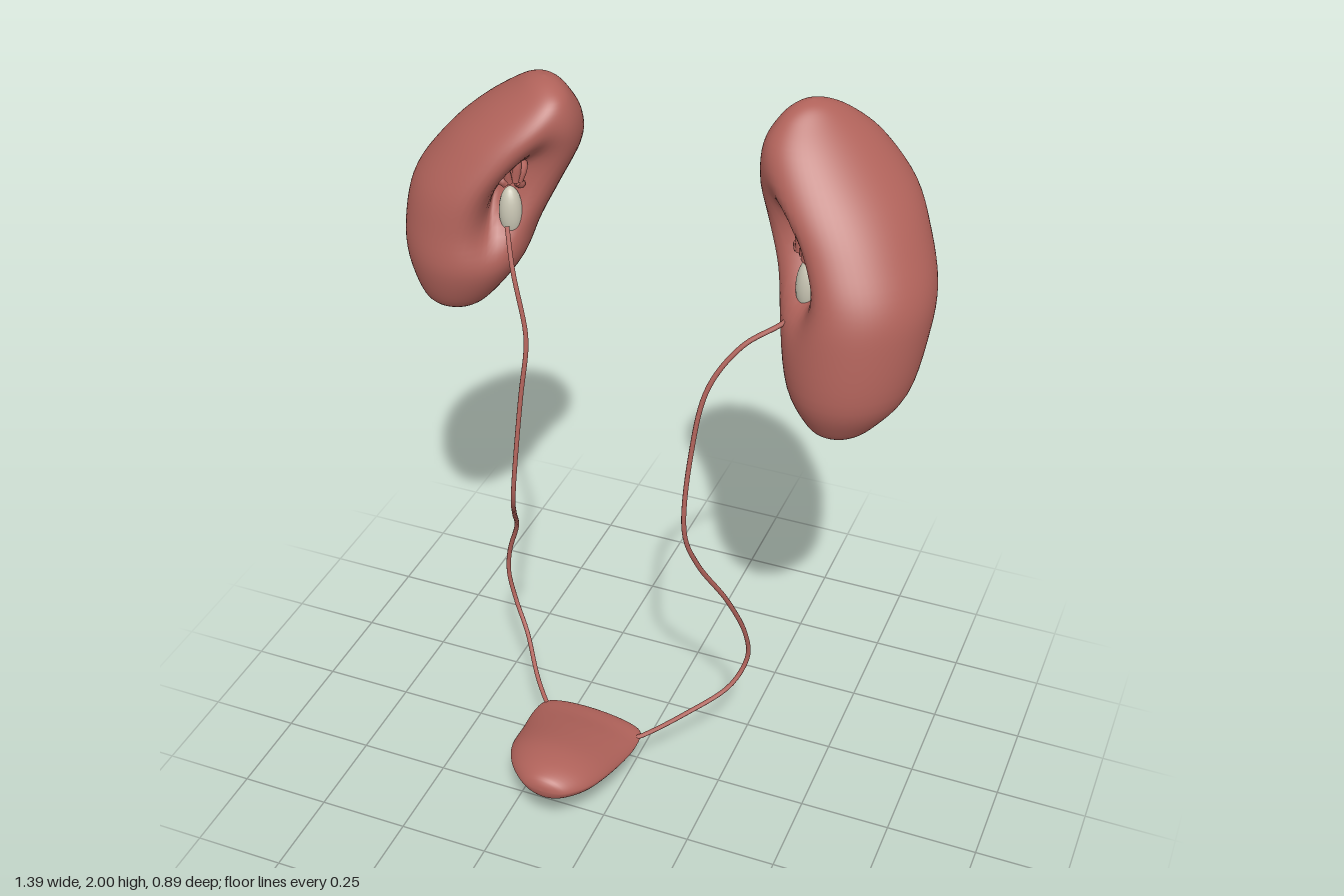
import * as THREE from 'three';

const red = new THREE.MeshStandardMaterial({ color: 0xb0625a });
const pale = new THREE.MeshStandardMaterial({ color: 0xc9c6b4 });
const V = (x, y, z) => new THREE.Vector3(x, y, z);

function add(parent, name, geometry, material = red) {
  const mesh = new THREE.Mesh(geometry, material);
  mesh.name = name;
  parent.add(mesh);
  return mesh;
}

// Smoothly interpolated row of a section table, t in 0..1
function rowAt(table, t) {
  const n = table.length - 1, f = t * n, i = Math.min(Math.floor(f), n - 1), w = f - i;
  const pick = k => table[Math.max(0, Math.min(n, k))];
  return table[0].map((_, c) => {
    const [a, b, d, e] = [pick(i - 1)[c], pick(i)[c], pick(i + 1)[c], pick(i + 2)[c]];
    return b + 0.5 * w * (d - a + w * (2 * a - 5 * b + 4 * d - e + w * (3 * (b - d) + e - a)));
  });
}

// Skin over closed loops; place(row, angle) gives a point of a section
function loft(table, rings, sides, place) {
  const pos = [], index = [];
  for (let i = 0; i <= rings; i++) {
    const row = rowAt(table, i / rings);
    for (let j = 0; j < sides; j++) {
      pos.push(...place(row, (j / sides) * Math.PI * 2).toArray());
      if (i === rings) continue;
      const a = i * sides + j, b = i * sides + (j + 1) % sides;
      index.push(a, b, b + sides, a, b + sides, a + sides);
    }
  }
  const g = new THREE.BufferGeometry();
  g.setAttribute('position', new THREE.Float32BufferAttribute(pos, 3));
  g.setIndex(index);
  g.computeVertexNormals();
  return g;
}

const tube = (pts, r, segs = 80) =>
  new THREE.TubeGeometry(new THREE.CatmullRomCurve3(pts.map(p => V(...p))), segs, r, 8, false);

// Bean with a hollow on the inner front side; rows are [y, centre x, centre z, half width, half thickness]
function buildKidney(name, side, table, hilumY, hilumX, hilumZ) {
  const group = new THREE.Group();
  group.name = name;
  const W = V(side, 0, -1).normalize(), T = V(W.z, 0, -W.x);
  add(group, name + 'Body', loft(table, 52, 64, ([y, cx, cz, w, t], a) => {
    const off = (a - Math.PI) / 0.36, up = (y - hilumY) / 0.11;
    const k = 1 - 0.66 * Math.exp(-off * off - up * up);
    return V(cx, y, cz)
      .addScaledVector(W, Math.max(w, 0) * k * Math.cos(a))
      .addScaledVector(T, Math.max(t, 0) * k * Math.sin(a));
  }));

  // Branching vessels inside the hollow: [depth, height, sideways]
  const at = (d, h, s) => V(hilumX, hilumY + h, hilumZ)
    .addScaledVector(W, d).addScaledVector(T, s).toArray();
  const branches = [
    [0.07, 0.11, 0.025], [0.08, 0.07, -0.04], [0.09, 0.03, 0.04], [0.1, -0.02, -0.03], [0.07, 0.12, -0.02],
  ];
  branches.forEach(([d, h, s], i) => add(group, 'vessel' + (i + 1),
    tube([at(0.035, 0.03, s * 0.4), at(0.04, 0.03 + h * 0.5, s * 0.8), at(d + 0.04, h, s)], 0.012, 12)));

  // Pale funnel where the ureter starts
  const pelvis = add(group, 'renalPelvis', new THREE.SphereGeometry(1, 20, 14), pale);
  pelvis.position.set(...at(0.055, -0.06, 0));
  pelvis.scale.set(0.03, 0.07, 0.03);
  return group;
}

export function createModel() {
  const model = new THREE.Group();
  model.name = 'urinarySystem';

  model.add(buildKidney('leftKidney', 1, [
    [1.21, 0.5, -0.08, 0, 0], [1.225, 0.505, -0.083, 0.052, 0.047], [1.26, 0.51, -0.09, 0.097, 0.086],
    [1.35, 0.515, -0.115, 0.157, 0.145], [1.5, 0.51, -0.155, 0.188, 0.176], [1.6, 0.497, -0.187, 0.199, 0.187],
    [1.7, 0.458, -0.23, 0.203, 0.186], [1.8, 0.415, -0.264, 0.198, 0.162], [1.9, 0.37, -0.28, 0.156, 0.106],
    [1.96, 0.347, -0.285, 0.098, 0.06], [1.99, 0.338, -0.285, 0.046, 0.03], [2.0, 0.335, -0.285, 0, 0],
  ], 1.66, 0.36, -0.07));

  model.add(buildKidney('rightKidney', -1, [
    [1.355, -0.55, -0.1, 0, 0], [1.365, -0.55, -0.1, 0.052, 0.047], [1.4, -0.545, -0.105, 0.103, 0.092],
    [1.5, -0.53, -0.135, 0.165, 0.15], [1.6, -0.517, -0.168, 0.184, 0.174], [1.7, -0.485, -0.198, 0.2, 0.186],
    [1.8, -0.425, -0.222, 0.187, 0.17], [1.87, -0.383, -0.228, 0.158, 0.128], [1.93, -0.35, -0.228, 0.106, 0.07],
    [1.96, -0.342, -0.23, 0.052, 0.034], [1.97, -0.34, -0.23, 0, 0],
  ], 1.7, -0.35, -0.075));

  // Ureters, from kidney down to bladder
  add(model, 'leftUreter', tube([
    [0.4, 1.57, -0.1], [0.36, 1.51, -0.075], [0.27, 1.45, -0.02], [0.2, 1.34, 0.025], [0.168, 1.15, 0.055],
    [0.165, 0.92, 0.085], [0.19, 0.8, 0.05], [0.25, 0.64, -0.025], [0.285, 0.48, -0.09],
    [0.285, 0.38, -0.11], [0.25, 0.3, -0.07], [0.15, 0.235, 0.02], [0.05, 0.183, 0.095], [0.02, 0.18, 0.12],
  ], 0.0065));
  add(model, 'rightUreter', tube([
    [-0.38, 1.62, -0.07], [-0.345, 1.53, -0.02], [-0.302, 1.38, 0.01], [-0.297, 1.33, 0.02],
    [-0.305, 1.2, 0.045], [-0.315, 0.96, 0.085], [-0.325, 0.88, 0.075], [-0.365, 0.77, -0.01],
    [-0.405, 0.65, -0.1], [-0.44, 0.54, -0.12], [-0.445, 0.46, -0.12], [-0.42, 0.37, -0.11],
    [-0.37, 0.3, -0.07], [-0.3, 0.23, 0.02], [-0.25, 0.2, 0.075], [-0.22, 0.193, 0.105],
  ], 0.0065));

  // Bladder: lens sections from back to front, [z, centre x, centre y, half width, half height]
  const bladder = new THREE.Group();
  bladder.name = 'bladder';
  model.add(bladder);
  add(bladder, 'bladderBody', loft([
    [0.055, -0.1, 0.187, 0, 0], [0.062, -0.105, 0.187, 0.11, 0.018], [0.08, -0.105, 0.187, 0.148, 0.03],
    [0.13, -0.108, 0.184, 0.158, 0.045], [0.2, -0.108, 0.192, 0.153, 0.058], [0.3, -0.11, 0.213, 0.14, 0.063],
    [0.37, -0.105, 0.224, 0.113, 0.055], [0.42, -0.1, 0.23, 0.072, 0.038],
    [0.438, -0.1, 0.231, 0.037, 0.02], [0.443, -0.1, 0.232, 0, 0],
  ], 40, 48, ([z, cx, cy, w, h], a) => {
    const dx = Math.max(w, 0) * Math.cos(a), s = Math.sin(a);
    return V(cx + dx, cy - 0.05 * dx + Math.max(h, 0) * s * Math.abs(s) ** 0.3, z);
  }));

  // Neck funnel flaring into the underside: [y, centre z, half width, half depth]
  add(bladder, 'bladderNeck', loft([
    [0, 0.105, 0, 0], [0.001, 0.105, 0.016, 0.01], [0.05, 0.105, 0.03, 0.023], [0.09, 0.107, 0.054, 0.037],
    [0.125, 0.118, 0.092, 0.053], [0.155, 0.14, 0.13, 0.08], [0.18, 0.15, 0.148, 0.091],
  ], 24, 32, ([y, cz, w, d], a) =>
    V(-0.105 + Math.max(w, 0) * Math.cos(a), Math.max(y, 0), cz - Math.max(d, 0) * Math.sin(a))));

  return model;
}
